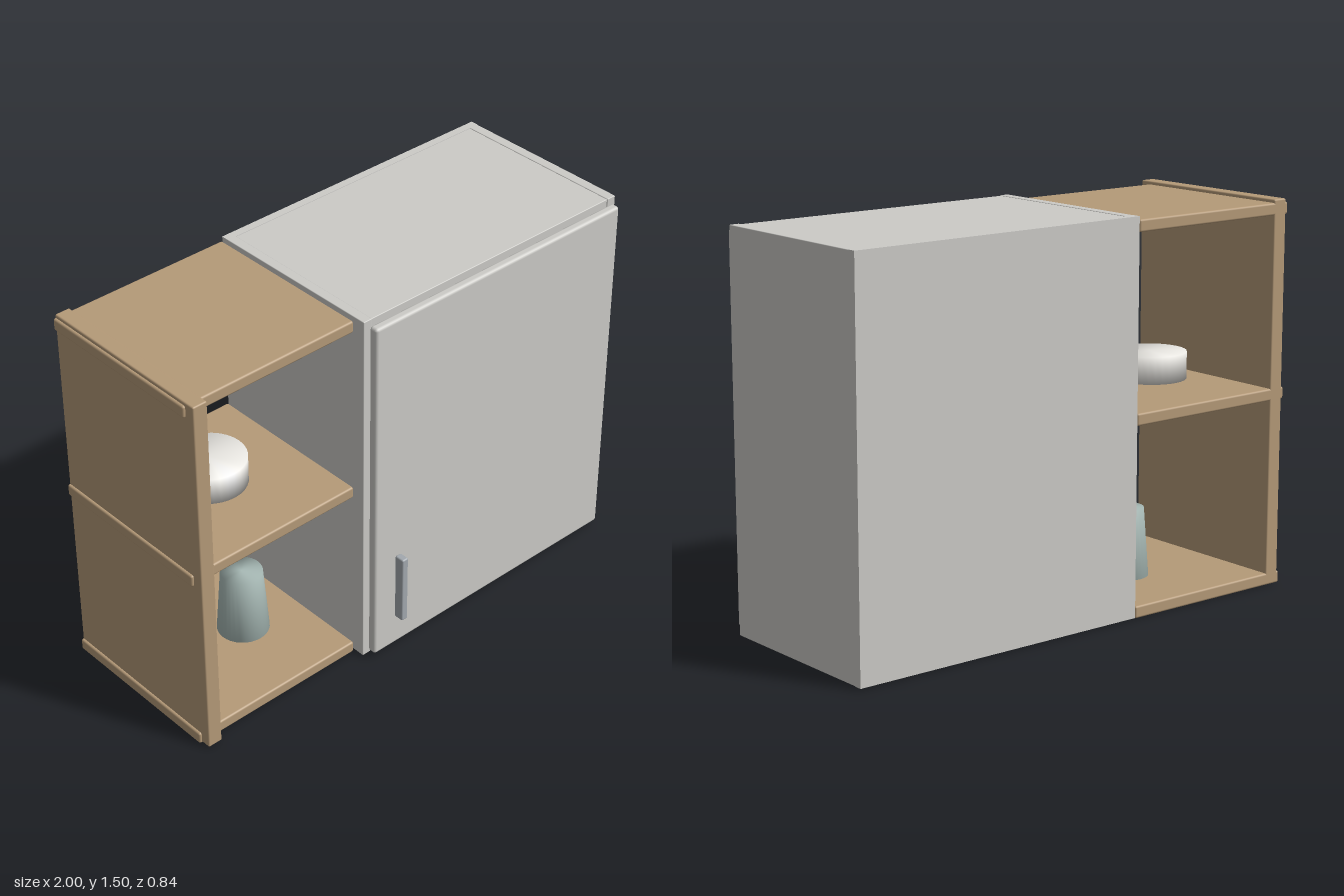
import * as THREE from 'three';
import { RoundedBoxGeometry } from 'three/addons/geometries/RoundedBoxGeometry.js';

const paint = (color) => new THREE.MeshStandardMaterial({ color });

export function createModel() {
  const model = new THREE.Group();
  const white = paint(0xcccbc7);
  const wood = paint(0xb59a78);
  const steel = paint(0xa3a9af);
  const ceramic = paint(0xe6e4df);
  const glass = paint(0xa9bbb7);

  // Board between two corners, with softly rounded edges (r = 0 gives a sharp box)
  function board(name, [x0, y0, z0], [x1, y1, z1], material, r, parent) {
    const size = [x1 - x0, y1 - y0, z1 - z0];
    const geometry = r ? new RoundedBoxGeometry(...size, 2, r) : new THREE.BoxGeometry(...size);
    const mesh = new THREE.Mesh(geometry, material);
    mesh.name = name;
    mesh.position.set((x0 + x1) / 2, (y0 + y1) / 2, (z0 + z1) / 2);
    parent.add(mesh);
  }

  // Closed cabinet carcass
  const cabinet = new THREE.Group();
  cabinet.name = 'cabinet';
  board('rightSide', [-0.25, 0.01, -0.42], [-0.212, 1.505, 0.325], white, 0.003, cabinet);
  board('leftSide', [0.955, 0.01, -0.42], [0.995, 1.505, 0.325], white, 0.003, cabinet);
  board('cabinetTop', [-0.213, 1.465, -0.42], [0.956, 1.503, 0.322], white, 0.003, cabinet);
  board('cabinetBottom', [-0.213, 0.012, -0.42], [0.956, 0.05, 0.322], white, 0.003, cabinet);
  board('backPanel', [-0.25, 0.01, -0.422], [0.995, 1.505, -0.39], white, 0, cabinet);

  // Door with a bar handle
  board('door', [-0.23, 0.03, 0.33], [0.975, 1.485, 0.368], white, 0.012, cabinet);
  board('handle', [-0.143, 0.178, 0.38], [-0.115, 0.465, 0.422], steel, 0.006, cabinet);
  model.add(cabinet);

  // Open wooden shelf unit
  const shelves = new THREE.Group();
  shelves.name = 'openShelves';
  board('shelfSide', [-0.99, 0.01, -0.42], [-0.93, 1.505, 0.32], wood, 0.006, shelves);
  for (const y of [0.005, 0.735, 1.445])
    board('shelf', [-1, y, -0.42], [-0.255, y + 0.047, 0.28], wood, 0.008, shelves);
  model.add(shelves);

  // Turned crockery with soft shading
  function vessel(name, x, y, bottom, top, height, material) {
    const profile = [[0, 0], [bottom, 0], [top, height], [0, height]].map((p) => new THREE.Vector2(...p));
    const mesh = new THREE.Mesh(new THREE.LatheGeometry(profile, 32), material);
    mesh.name = name;
    mesh.position.set(x, y, -0.07);
    model.add(mesh);
  }
  vessel('bowl', -0.63, 0.81, 0.14, 0.14, 0.105, ceramic);
  vessel('cup', -0.5, 0.052, 0.1, 0.08, 0.268, glass);

  return model;
}
